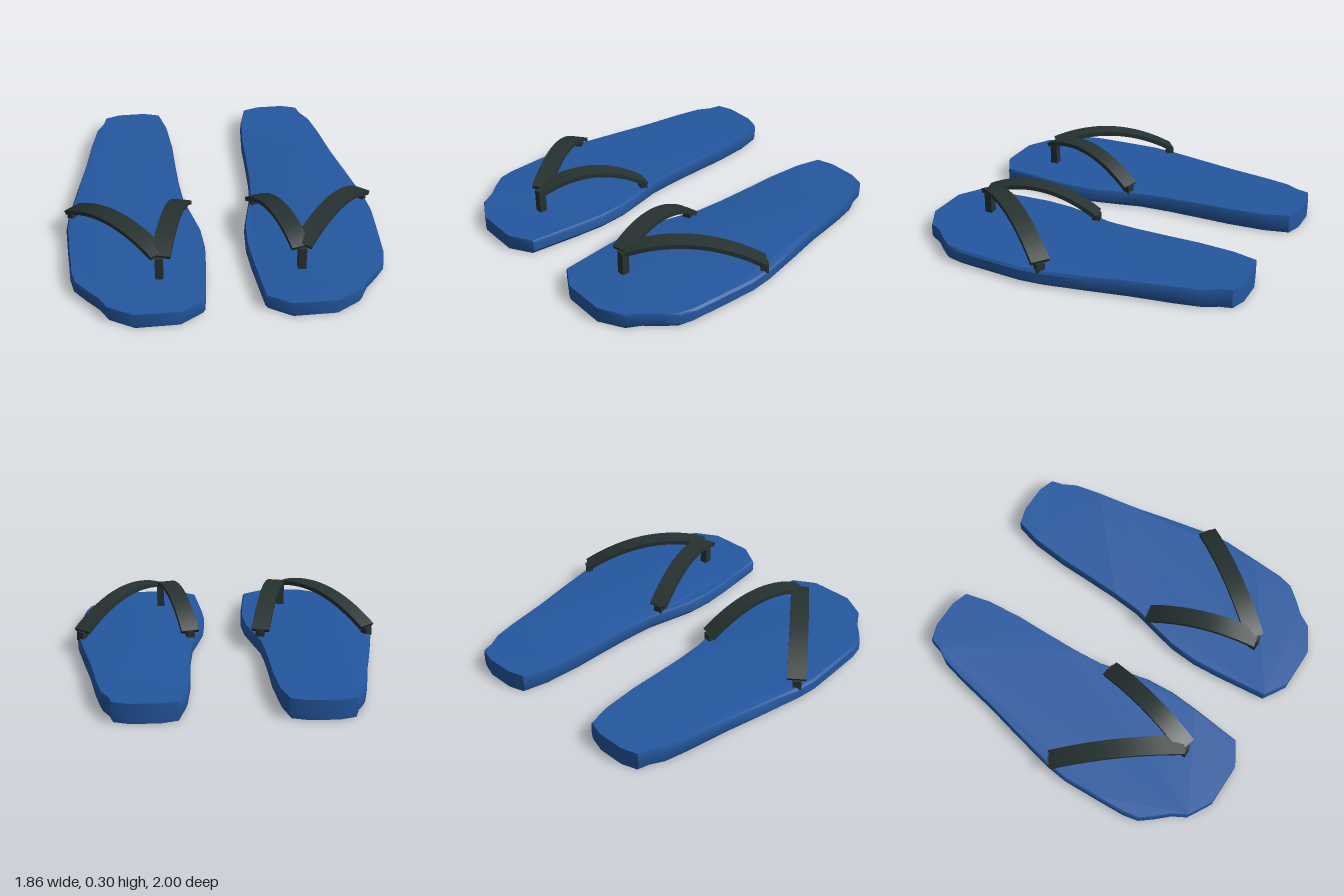
import * as THREE from 'three';
import { toCreasedNormals } from 'three/addons/utils/BufferGeometryUtils.js';

const soleBlue = new THREE.MeshStandardMaterial({ color: 0x2458a0 });
soleBlue.name = 'soleBlue';
const strapBlack = new THREE.MeshStandardMaterial({ color: 0x263231 });
strapBlack.name = 'strapBlack';

// Sole outline of the left sandal as [x, z]
const OUTLINE = [
  [0.39, -1], [0.29, -0.97], [0.25, -0.82], [0.23, -0.6], [0.227, -0.42], [0.22, -0.2],
  [0.205, -0.02], [0.17, 0.12], [0.132, 0.28], [0.12, 0.45], [0.132, 0.62], [0.165, 0.92],
  [0.30, 1], [0.56, 1], [0.705, 0.92], [0.75, 0.84], [0.82, 0.765], [0.88, 0.69],
  [0.90, 0.6], [0.91, 0.42], [0.92, 0.2], [0.905, 0.06], [0.85, -0.2], [0.80, -0.42],
  [0.755, -0.67], [0.72, -0.82], [0.675, -0.9], [0.655, -0.97], [0.56, -1],
];
// Height and width factor of the sole, from underside to footbed
const LEVELS = [[0, 0.95], [0.022, 1], [0.078, 1], [0.093, 0.975]];

function mesh(geometry, material, name) {
  const m = new THREE.Mesh(geometry, material);
  m.name = name;
  return m;
}

function soleGeometry(side) {
  const shape = new THREE.Shape(OUTLINE.map(([x, z]) => new THREE.Vector2(side * x, z)));
  const geo = new THREE.ExtrudeGeometry(shape, { depth: 3, steps: 3, bevelEnabled: false });
  geo.rotateX(Math.PI / 2).translate(0, 3, 0);
  const p = geo.attributes.position;
  const centre = side * 0.48;
  for (let i = 0; i < p.count; i++) {
    const [y, width] = LEVELS[Math.round(p.getY(i))];
    const z = p.getZ(i);
    // the sole thickens towards the heel
    const lift = 1 + 0.24 * Math.max(0, -z);
    p.setXYZ(i, centre + (p.getX(i) - centre) * width, y * lift, z);
  }
  return toCreasedNormals(geo, 0.6);
}

// Flat band from anchor to toe, arched over the foot
const archHeight = (z) => 0.292 - 0.97 * (z - 0.47) ** 2;

function strapGeometry(from, to) {
  const length = from.distanceTo(to);
  const dir = to.clone().sub(from).divideScalar(length);
  const geo = new THREE.BoxGeometry(0.11, 0.026, 1, 1, 1, 20);
  const p = geo.attributes.position;
  for (let i = 0; i < p.count; i++) {
    const across = p.getX(i), up = p.getY(i), t = p.getZ(i) + 0.5;
    const z = from.y + (to.y - from.y) * t;
    const slope = -1.94 * (z - 0.47) * dir.y;
    const n = Math.hypot(1, slope);
    const along = t * length - (up * slope) / n;
    p.setXYZ(i,
      from.x + dir.x * along + dir.y * across,
      archHeight(z) + up / n,
      from.y + dir.y * along - dir.x * across);
  }
  return toCreasedNormals(geo, 0.6);
}

function post(x, z, bottom, top, width, turn, name) {
  const m = mesh(new THREE.BoxGeometry(width, top - bottom, 0.045), strapBlack, name);
  m.position.set(x, (top + bottom) / 2, z);
  m.rotation.y = turn;
  return m;
}

function createSandal(side, name) {
  const sandal = new THREE.Group();
  sandal.name = name;
  sandal.add(mesh(soleGeometry(side), soleBlue, 'sole'));

  const straps = [
    ['outer', [0.88, 0.072], [0.402, 0.692]],
    ['inner', [0.217, 0.06], [0.392, 0.705]],
  ];
  for (const [label, a, b] of straps) {
    const from = new THREE.Vector2(side * a[0], a[1]);
    const to = new THREE.Vector2(side * b[0], b[1]);
    sandal.add(mesh(strapGeometry(from, to), strapBlack, label + 'Strap'));
    const turn = Math.atan2(to.x - from.x, to.y - from.y);
    sandal.add(post(from.x, from.y + 0.008, 0.08, 0.135, 0.05, turn, label + 'StrapAnchor'));
  }
  // post between the toes
  sandal.add(post(side * 0.402, 0.7, 0.08, 0.235, 0.046, 0, 'toePost'));
  return sandal;
}

export function createModel() {
  const model = new THREE.Group();
  model.name = 'sandals';
  model.add(createSandal(1, 'leftSandal'), createSandal(-1, 'rightSandal'));
  return model;
}
